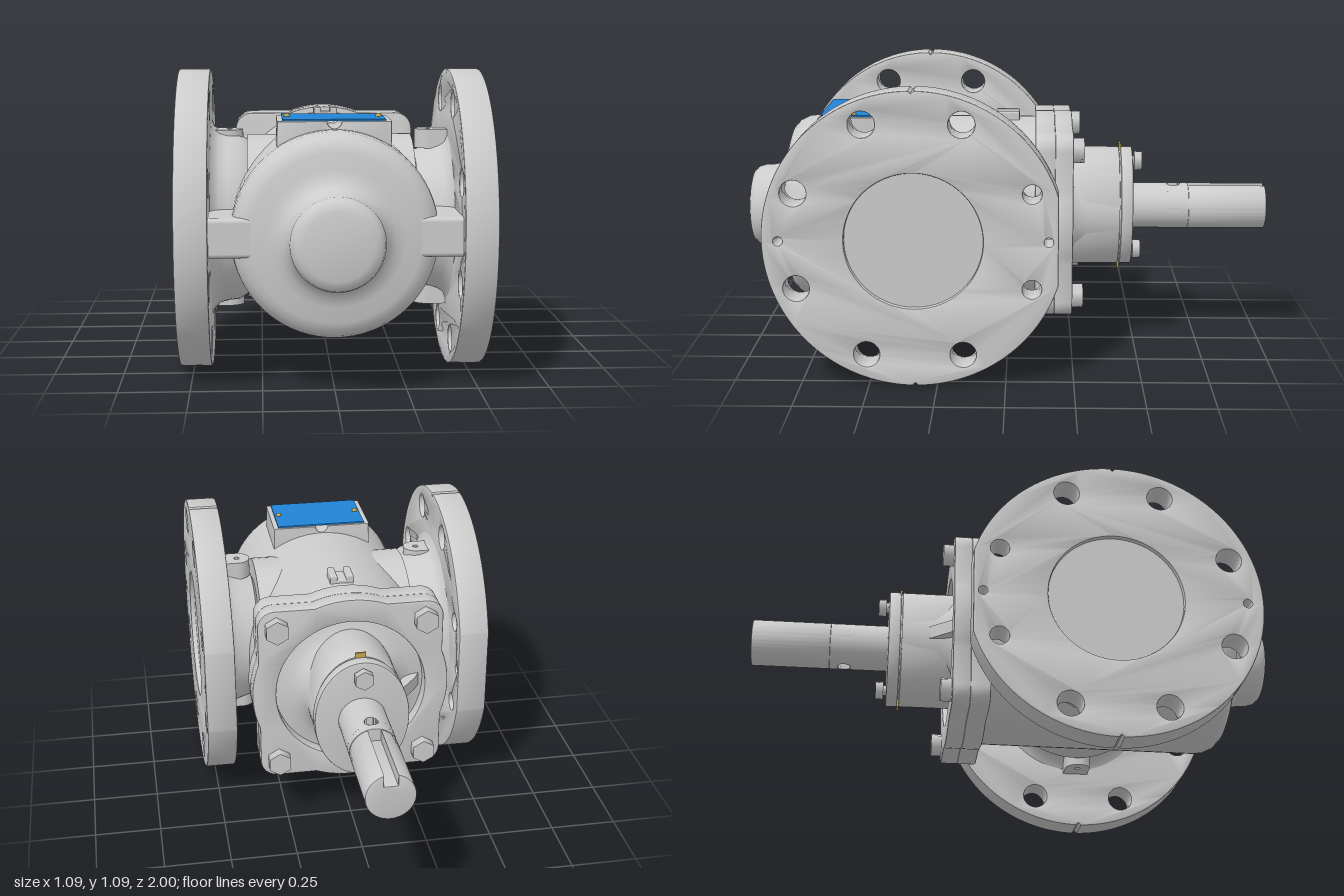
import * as THREE from 'three';
import { toCreasedNormals } from 'three/addons/utils/BufferGeometryUtils.js';
import { RoundedBoxGeometry } from 'three/addons/geometries/RoundedBoxGeometry.js';

const CY = 0.545; // height of the shaft axis
const FZ = 0.33;  // z of the port flange centres
const grey = new THREE.MeshStandardMaterial({ color: 0xcccccc });
const blue = new THREE.MeshStandardMaterial({ color: 0x1f83d6 });
const brass = new THREE.MeshStandardMaterial({ color: 0xc9a94e });

export function createModel() {
  const model = new THREE.Group();

  const add = (name, geo, x = 0, y = 0, z = 0, mat = grey) => {
    const m = new THREE.Mesh(geo, mat);
    m.name = name;
    m.position.set(x, y, z);
    model.add(m);
    return m;
  };
  const lathe = (pts, seg = 72) => toCreasedNormals(
    new THREE.LatheGeometry(pts.map(p => new THREE.Vector2(p[0], p[1])), seg), 0.6);
  const extrude = (shape, depth, bevel = 0) => {
    const g = new THREE.ExtrudeGeometry(shape, {
      depth: depth - 2 * bevel, curveSegments: 40, bevelEnabled: bevel > 0,
      bevelSize: bevel, bevelOffset: -bevel, bevelThickness: bevel, bevelSegments: 2,
    });
    return toCreasedNormals(g.translate(0, 0, bevel), 0.6);
  };
  const circleHole = (shape, x, y, r) =>
    shape.holes.push(new THREE.Path().absarc(x, y, r, 0, Math.PI * 2, true));

  // Main casing with domed front end and nose
  add('casing', lathe([
    [0, -0.11], [0.353, -0.11], [0.357, 0.74], [0.353, 0.775], [0.339, 0.805], [0.318, 0.825],
    [0.29, 0.835], [0.235, 0.84], [0.2, 0.85], [0.178, 0.868], [0.165, 0.895], [0.16, 0.925],
    [0.159, 0.955], [0.152, 0.977], [0.138, 0.992], [0.115, 0.999], [0, 1],
  ]).rotateX(Math.PI / 2), 0, CY, 0);

  // Port chamber crossing the casing
  add('portChamber', lathe([[0, -0.3], [0.303, -0.3], [0.303, 0.3], [0, 0.3]])
    .rotateZ(-Math.PI / 2), 0, CY, 0.3);

  // Port necks flaring into the flanges
  add('rightNeck', lathe([
    [0.37, -0.435], [0.335, -0.42], [0.318, -0.4], [0.31, -0.37], [0.306, -0.33], [0.285, -0.3], [0.2, -0.29],
  ]).rotateZ(-Math.PI / 2), 0, CY, 0.31);
  add('leftNeck', lathe([
    [0.2, 0.29], [0.245, 0.31], [0.25, 0.33], [0.262, 0.37], [0.272, 0.4], [0.285, 0.42], [0.32, 0.435],
  ]).rotateZ(-Math.PI / 2), 0, CY, 0.31);

  // Port flanges: bolt circle, dowel holes, edge notches, flat at the back
  const flange = new THREE.Shape();
  const flat = Math.acos(0.52 / 0.545), notch = 0.018;
  const up = Math.PI / 2;
  flange.absarc(0, 0, 0.545, flat, up - notch, false);
  flange.lineTo(0, 0.535);
  flange.absarc(0, 0, 0.545, up + notch, 3 * up - notch, false);
  flange.lineTo(0, -0.535);
  flange.absarc(0, 0, 0.545, 3 * up + notch, 4 * up - flat, false);
  flange.closePath();
  circleHole(flange, 0, 0, 0.25);
  for (let i = 0; i < 8; i++) {
    const a = Math.PI / 8 + i * Math.PI / 4;
    const x = 0.46 * Math.cos(a);
    circleHole(flange, x, 0.46 * Math.sin(a), x > 0.4 ? 0.034 : 0.047);
  }
  for (const x of [-0.485, 0.485]) circleHole(flange, x, 0, 0.016);
  const flangeGeo = extrude(flange, 0.115, 0.006).rotateY(Math.PI / 2);

  const tab = new THREE.Shape();
  tab.moveTo(0.08, -0.05);
  tab.lineTo(0.08, 0.05);
  tab.lineTo(0, 0.05);
  tab.absarc(0, 0, 0.05, up, 3 * up, false);
  circleHole(tab, 0, 0, 0.011);
  const tabGeo = extrude(tab, 0.07).rotateX(-Math.PI / 2);

  for (const [side, s] of [['left', 1], ['right', -1]]) {
    add(side + 'Flange', flangeGeo, s > 0 ? 0.43 : -0.545, CY, FZ);
    add(side + 'PortFace', new THREE.CylinderGeometry(0.255, 0.255, 0.09, 64).rotateZ(Math.PI / 2),
      s * 0.48, CY, FZ);
    // Horizontal web tying the casing to the flange
    add(side + 'Web', new RoundedBoxGeometry(0.24, 0.135, 0.62, 3, 0.015), s * 0.32, CY + 0.002, 0.525);
    for (const y of [0.8, 0.22]) {
      const t = add(side + 'Tab', tabGeo, s * 0.365, y, 0.32);
      if (s < 0) t.rotation.y = Math.PI;
    }
  }

  // Raised pad with rating plate and rivets
  const pad = new THREE.Shape();
  pad.moveTo(-0.2, 0.7);
  pad.lineTo(0.2, 0.7);
  pad.lineTo(0.196, 0.93);
  pad.lineTo(0.025, 0.93);
  pad.absarc(0, 0.93, 0.025, 0, -Math.PI, true);
  pad.lineTo(-0.196, 0.93);
  pad.closePath();
  add('platePad', extrude(pad, 0.262, 0.006), 0, 0, 0.45);
  add('ratingPlate', new THREE.BoxGeometry(0.355, 0.006, 0.245), 0, 0.933, 0.58, blue);
  for (const s of [-1, 1]) {
    add('plateRivet', new THREE.SphereGeometry(0.011, 16, 10), s * 0.16, 0.936, 0.58, brass);
  }

  // Small slotted lug on top of the casing
  add('lugBase', new RoundedBoxGeometry(0.09, 0.05, 0.09, 2, 0.006), 0, 0.885, 0);
  for (const s of [-1, 1]) {
    add('lugProng', new RoundedBoxGeometry(0.028, 0.05, 0.09, 2, 0.006), s * 0.031, 0.902, 0);
  }

  // Square mounting plates with bowed sides
  const plateShape = () => {
    const pts = [];
    for (let q = 0; q < 4; q++) {
      const turn = q * up;
      const put = (x, y) => pts.push(new THREE.Vector2(x, y).rotateAround(new THREE.Vector2(), turn));
      for (let i = 0; i <= 10; i++) {
        const a = -0.37 + 0.074 * i;
        put(0.375 * Math.cos(a), 0.375 * Math.sin(a));
      }
      for (let i = 0; i <= 8; i++) {
        const a = i * up / 8;
        put(0.285 + 0.065 * Math.cos(a), 0.285 + 0.065 * Math.sin(a));
      }
    }
    return new THREE.Shape(pts);
  };
  add('casingPlate', extrude(plateShape(), 0.075, 0.006), 0, CY, -0.18);
  const cover = plateShape();
  circleHole(cover, 0, 0, 0.285);
  add('coverPlate', extrude(cover, 0.068, 0.006), 0, CY, -0.246);

  const boltGeo = new THREE.CylinderGeometry(0.047, 0.047, 0.045, 6).rotateX(up);
  for (const x of [-0.28, 0.28]) for (const y of [-0.28, 0.28]) {
    add('coverBolt', boltGeo, x, CY + y, -0.264);
  }

  // Bearing hub, oval seal housing and gland
  add('coverHub', lathe([
    [0.174, -0.43], [0.177, -0.3], [0.185, -0.26], [0.205, -0.225], [0.24, -0.205], [0.295, -0.195],
  ]).rotateX(up), 0, CY, 0);
  const oval = (rx, ry) => new THREE.Shape().absellipse(0, 0, rx, ry, 0, Math.PI * 2, false);
  add('sealHousing', extrude(oval(0.172, 0.232), 0.24, 0.006), 0, CY + 0.005, -0.43);
  add('gland', extrude(oval(0.175, 0.232), 0.045, 0.005), 0, CY + 0.005, -0.48);
  add('glandGasket', extrude(oval(0.165, 0.225), 0.008), 0, CY + 0.005, -0.437);
  add('sealTab', new THREE.BoxGeometry(0.04, 0.5, 0.008), 0, CY + 0.005, -0.433, brass);
  const glandBolt = new THREE.CylinderGeometry(0.037, 0.037, 0.03, 6).rotateX(up);
  for (const s of [-1, 1]) {
    add('glandStud', new THREE.CylinderGeometry(0.02, 0.02, 0.06, 20).rotateX(up), 0, CY + 0.005 + s * 0.178, -0.47);
    add('glandBolt', glandBolt, 0, CY + 0.005 + s * 0.178, -0.505);
  }

  // Triangular stiffening rib on the hub
  const rib = new THREE.Shape([[-0.15, 0.18], [-0.28, 0.18], [-0.25, 0.235], [-0.17, 0.33], [-0.15, 0.33]]
    .map(p => new THREE.Vector2(...p)));
  add('hubRib', extrude(rib, 0.05).rotateX(-up), 0, CY - 0.025, 0);

  // Drive shaft: plain length, cross-drilled length, keyed end
  const R = 0.088, SY = CY + 0.005;
  const rod = (z0, z1) => add('shaft',
    new THREE.CylinderGeometry(R, R, z1 - z0, 48).rotateX(up), 0, SY, (z0 + z1) / 2);
  rod(-0.62, -0.4);
  rod(-0.7, -0.67);
  const slices = 8, hr = 0.025;
  for (let i = 0; i < slices; i++) {
    const u = (2 * (i + 0.5)) / slices - 1;
    const a = Math.acos(hr * Math.sqrt(1 - u * u) / R);
    for (const turn of [0, Math.PI]) {
      const half = new THREE.Shape().absarc(0, 0, R, turn - a, turn + a, false);
      add('drilledShaft', extrude(half, 2 * hr / slices), 0, SY, -0.67 + i * 2 * hr / slices);
    }
  }
  const keyed = new THREE.Shape();
  const k = Math.asin(0.024 / R);
  keyed.absarc(0, 0, R, up + k, up - k + Math.PI * 2, false);
  keyed.lineTo(0.024, 0.042);
  keyed.lineTo(-0.024, 0.042);
  keyed.closePath();
  add('keyedShaft', extrude(keyed, 0.3, 0.005), 0, SY, -1);

  return model;
}
